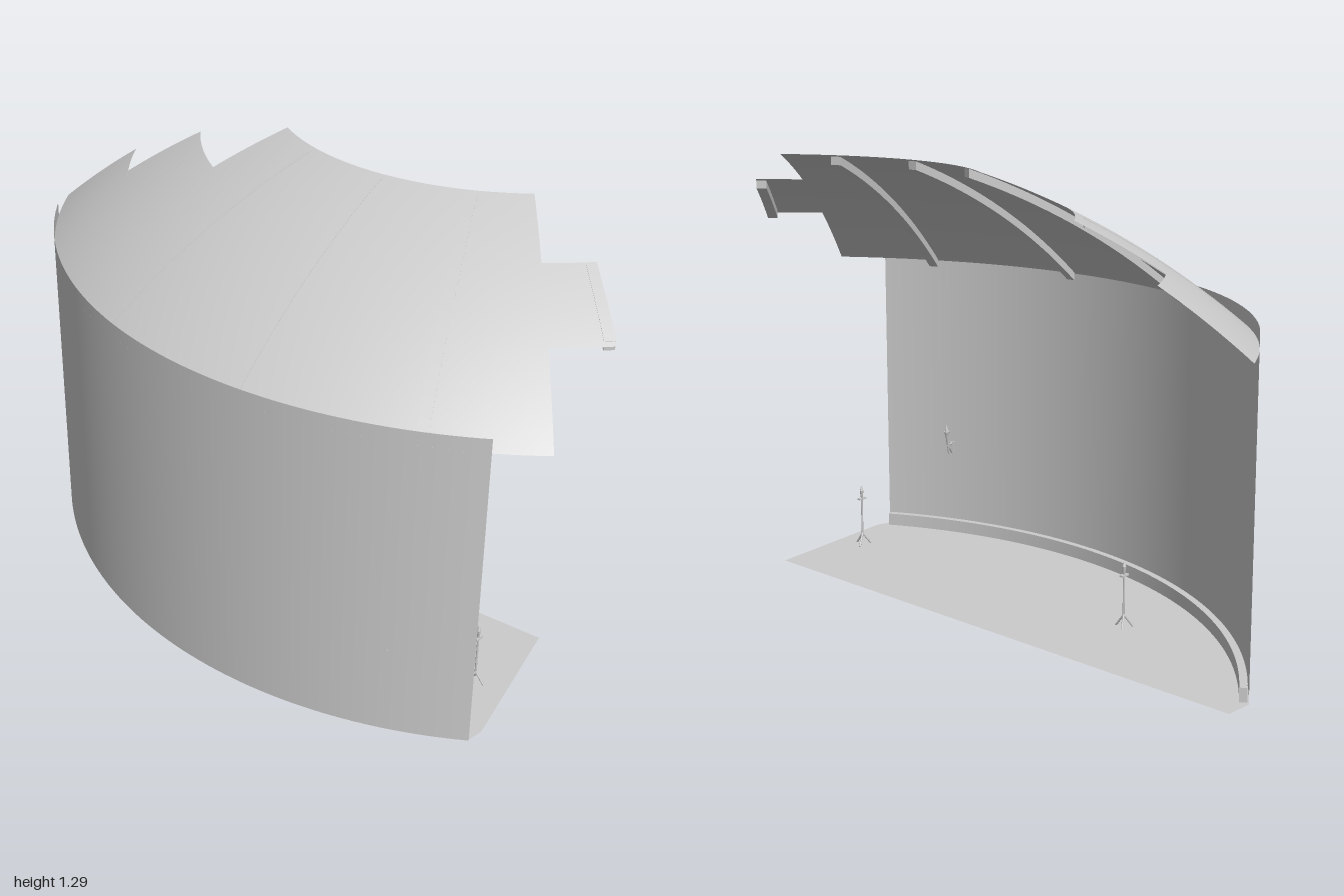
import * as THREE from 'three';
import { ParametricGeometry } from 'three/addons/geometries/ParametricGeometry.js';

const CX = 0.95, CZ = 0.205, R = 1.37;          // axis and radius of the drum
const WALL_A = -55.3, WALL_B = 29;              // wall extent in degrees
const rad = THREE.MathUtils.degToRad;
const lerp = THREE.MathUtils.lerp;

// Polar position about the drum axis: 0 degrees is -x, positive turns to +z
const polar = (r, deg, y, target = new THREE.Vector3()) =>
  target.set(CX - r * Math.cos(rad(deg)), y, CZ + r * Math.sin(rad(deg)));
const domeY = (r) => Math.sqrt(2.1 * 2.1 - r * r) - 0.687;

const grey = new THREE.MeshStandardMaterial({ color: 0xcccccc });
const sheet = new THREE.MeshStandardMaterial({ color: 0xcccccc, side: THREE.DoubleSide });

function add(parent, name, geometry, material = grey, x = 0, y = 0, z = 0) {
  const mesh = new THREE.Mesh(geometry, material);
  mesh.name = name;
  mesh.position.set(x, y, z);
  parent.add(mesh);
  return mesh;
}

// Unit box whose vertices are moved by a rule
function bentBox(sx, sz, rule) {
  const g = new THREE.BoxGeometry(1, 1, 1, sx, 1, sz);
  const p = g.attributes.position, v = new THREE.Vector3();
  for (let i = 0; i < p.count; i++) {
    rule(p.getX(i) + 0.5, p.getY(i) + 0.5, p.getZ(i) + 0.5, v);
    p.setXYZ(i, v.x, v.y, v.z);
  }
  g.computeVertexNormals();
  return g;
}

// Thin cylinder between two points
function rod(parent, name, a, b, r0, r1 = r0) {
  const from = new THREE.Vector3(...a), to = new THREE.Vector3(...b);
  const dir = to.clone().sub(from);
  const mesh = add(parent, name, new THREE.CylinderGeometry(r1, r0, dir.length(), 8));
  mesh.position.copy(from).lerp(to, 0.5);
  mesh.quaternion.setFromUnitVectors(new THREE.Vector3(0, 1, 0), dir.normalize());
}

// Tripod stand with a crossbar and a pointed head
function makeStand() {
  const stand = new THREE.Group();
  stand.name = 'tripodStand';
  rod(stand, 'post', [0, 0.03, 0], [0, 0.17, 0], 0.003);
  for (let i = 0; i < 3; i++) {
    const a = rad(90 + i * 120);
    rod(stand, 'leg', [0, 0.04, 0], [0.028 * Math.cos(a), 0.003, 0.028 * Math.sin(a)], 0.003);
  }
  add(stand, 'crossbar', new THREE.BoxGeometry(0.028, 0.005, 0.012), grey, 0, 0.156, 0);
  rod(stand, 'head', [0, 0.158, 0], [0, 0.182, 0], 0.003, 0.006);
  rod(stand, 'headTip', [0, 0.182, 0], [0, 0.197, 0], 0.006, 0.001);
  return stand;
}

// Torch on a wall bracket, reaching out along +x
function makeWallTorch() {
  const torch = new THREE.Group();
  torch.name = 'wallTorch';
  add(torch, 'backPlate', new THREE.BoxGeometry(0.006, 0.04, 0.016), grey, 0.003, 0.285, 0);
  rod(torch, 'bracketArm', [0, 0.3, 0], [0.035, 0.3, 0], 0.004);
  rod(torch, 'bracketBrace', [0, 0.265, 0], [0.03, 0.3, 0], 0.003);
  rod(torch, 'handle', [0.025, 0.27, 0], [0.037, 0.335, 0], 0.003, 0.006);
  rod(torch, 'cup', [0.037, 0.335, 0], [0.039, 0.348, 0], 0.007, 0.009);
  rod(torch, 'flame', [0.039, 0.348, 0], [0.042, 0.372, 0], 0.007, 0.001);
  return torch;
}

export function createModel() {
  const model = new THREE.Group();
  model.name = 'rotundaSection';

  // Curved wall
  add(model, 'wall', new ParametricGeometry((u, v, t) =>
    polar(R, lerp(WALL_A, WALL_B, u), v * 0.945, t), 64, 1), sheet);

  // Floor: arc under the wall closed by straight edges
  const outline = new THREE.Shape();
  for (let i = 0; i <= 48; i++) {
    const p = polar(R, lerp(WALL_A, WALL_B, i / 48), 0);
    if (i) outline.lineTo(p.x, -p.z); else outline.moveTo(p.x, -p.z);
  }
  outline.lineTo(-0.2, -0.88);
  outline.lineTo(0.25, -0.81);
  outline.lineTo(0.25, 0.92);
  const floor = add(model, 'floor', new THREE.ShapeGeometry(outline), sheet, 0, 0.003, 0);
  floor.rotation.x = -Math.PI / 2;

  // Low kerb along the foot of the wall
  add(model, 'kerb', bentBox(1, 64, (u, v, w, t) =>
    polar(lerp(1.345, 1.366, u), lerp(28.8, -54.8, w), v * 0.042, t)));

  // Domed roof in three stepped bands: inner radius, outer radius, start, end
  const roof = new THREE.Group();
  roof.name = 'roof';
  model.add(roof);
  const bands = [[0.695, 0.92, -35.3, 35.1], [0.92, 1.142, -53, 43.9], [1.142, R, -62, 35.2]];
  for (const [r0, r1, a0, a1] of bands) {
    const g = new ParametricGeometry((u, v, t) => {
      const r = lerp(r0, r1, v);
      return polar(r, lerp(a0, a1, u), domeY(r), t);
    }, 64, 8);
    // Exact dome normals keep the bands seamless
    const p = g.attributes.position;
    for (let i = 0; i < p.count; i++) {
      const n = new THREE.Vector3(p.getX(i) - CX, p.getY(i) + 0.687, p.getZ(i) - CZ).normalize();
      g.attributes.normal.setXYZ(i, n.x, n.y, n.z);
    }
    // Turn the winding so that the outside is the front
    const idx = g.index.array;
    const [a, b, c] = [0, 1, 2].map((k) => new THREE.Vector3().fromBufferAttribute(p, idx[k]));
    if (b.sub(a).cross(c.sub(a)).y < 0) {
      for (let i = 0; i < idx.length; i += 3) [idx[i], idx[i + 1]] = [idx[i + 1], idx[i]];
    }
    add(roof, 'roofBand', g, sheet);
  }

  // Ribs below the roof: angle, inner radius, outer radius
  const ribs = [[-43.7, 0.945, 1.365], [-21.8, 0.71, 1.365], [0, 0.71, 1.365],
    [21.8, 0.71, 1.365], [43, 0.93, 1.13]];
  for (const [angle, r0, r1] of ribs) {
    add(roof, 'roofRib', bentBox(20, 1, (u, v, w, t) => {
      const r = lerp(r0, r1, u), side = (0.5 - w) * 0.03;
      polar(r, angle, domeY(r) + lerp(-0.024, 0.001, v), t);
      t.x += side * Math.sin(rad(angle));
      t.z += side * Math.cos(rad(angle));
    }));
  }

  // Two stands on the floor
  for (const z of [0.76, -0.345]) {
    const stand = makeStand();
    stand.position.set(-0.03, 0, z);
    model.add(stand);
  }

  // Torch on the inner face of the wall
  const torch = makeWallTorch();
  polar(R - 0.001, 19.4, 0, torch.position);
  torch.rotation.y = rad(19.4);
  model.add(torch);

  return model;
}
